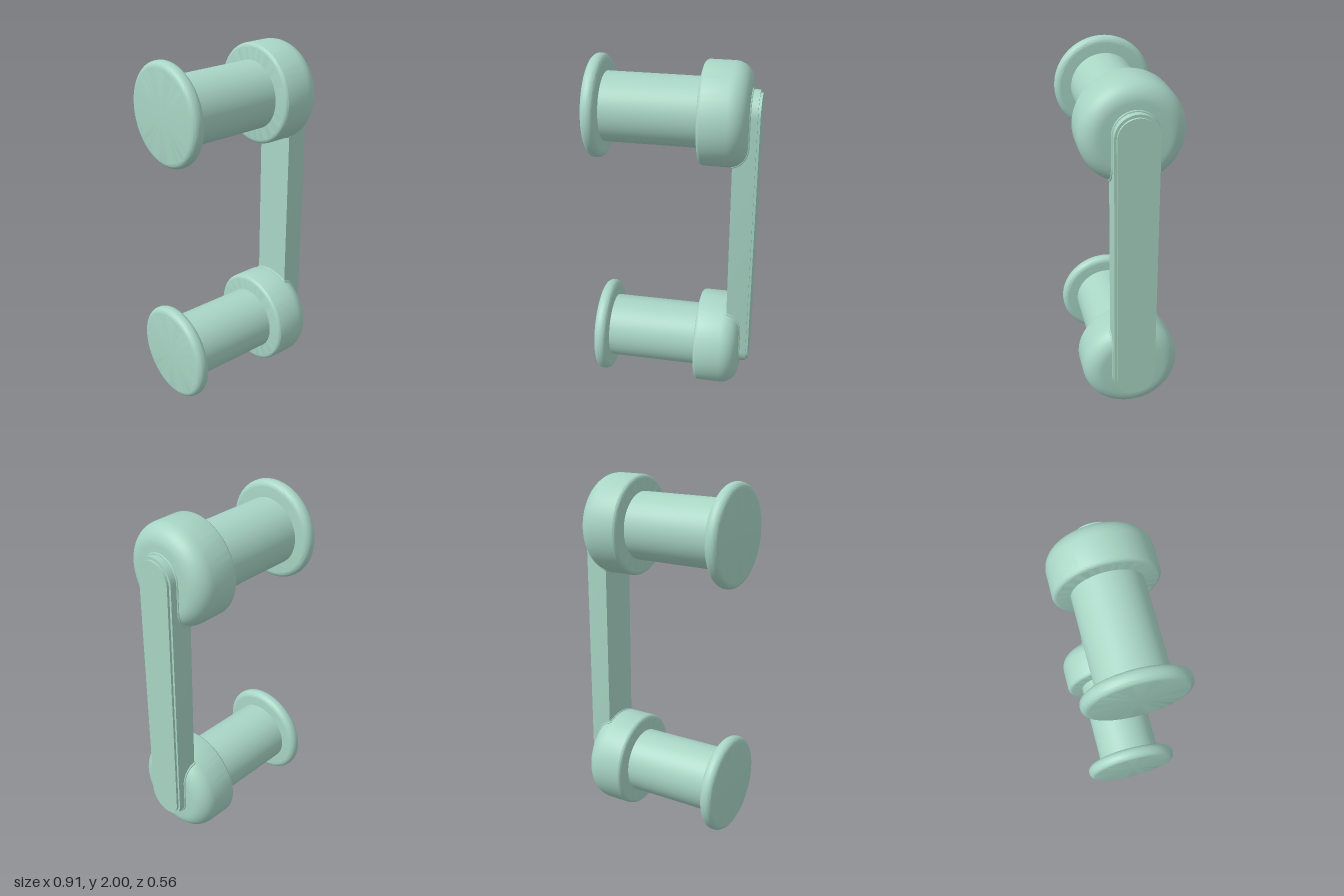
import * as THREE from 'three';
import { toCreasedNormals } from 'three/addons/utils/BufferGeometryUtils.js';

const material = new THREE.MeshStandardMaterial({ color: 0xa8d5c5 });
const R = 0.278;           // head and flange radius
const LOW = R, HIGH = 2 - R; // heights of the two pegs
const BAR_BACK = 0.32, BAR_W = 0.118;
const HEAD_END = 0.4, HEAD_FILLET = 0.1;

function mesh(name, geometry) {
  const m = new THREE.Mesh(geometry, material);
  m.name = name;
  return m;
}

// Solid disc along x from x0 to x1, with rounded rims
function roundedDisc(x0, x1, radius, fillet0, fillet1) {
  const pts = [new THREE.Vector2(0, x0)];
  const corner = (f, x, start) => {
    const steps = f > 0 ? 10 : 0;
    for (let i = 0; i <= steps; i++) {
      const a = steps ? start + (i / steps) * Math.PI / 2 : 0;
      pts.push(new THREE.Vector2(radius - f + f * Math.cos(a), x + f * Math.sin(a)));
    }
  };
  corner(fillet0, x0 + fillet0, -Math.PI / 2);
  corner(fillet1, x1 - fillet1, 0);
  pts.push(new THREE.Vector2(0, x1));
  const g = new THREE.LatheGeometry(pts, 96);
  g.rotateZ(-Math.PI / 2);
  return toCreasedNormals(g, 0.6);
}

// Upright round-ended plate, extruded along x
function roundEndPlate(x0, x1, halfWidth, y0, y1) {
  const s = new THREE.Shape();
  s.absarc(0, y1 - halfWidth, halfWidth, 0, Math.PI, false);
  s.absarc(0, y0 + halfWidth, halfWidth, Math.PI, 2 * Math.PI, false);
  s.closePath();
  const g = new THREE.ExtrudeGeometry(s, { depth: x1 - x0, bevelEnabled: false, curveSegments: 32 });
  g.rotateY(Math.PI / 2);
  g.translate(x0, 0, 0);
  return toCreasedNormals(g, 0.6);
}

// Thin bead following the seam where the bar enters the head
function seamBead() {
  const flat = R - HEAD_FILLET;
  const surfaceX = (y, z) => {
    const d = Math.max(0, Math.hypot(y, z) - flat);
    return HEAD_END - HEAD_FILLET + Math.sqrt(Math.max(0, HEAD_FILLET ** 2 - d * d));
  };
  const rBack = flat + Math.sqrt(HEAD_FILLET ** 2 - (BAR_BACK - HEAD_END + HEAD_FILLET) ** 2);
  const yBack = -Math.sqrt(rBack ** 2 - BAR_W ** 2);
  const yArc = 0.022;
  const pts = [];
  const add = (y, z) => pts.push(new THREE.Vector3(surfaceX(y, z), y, z));
  for (let i = 0; i < 20; i++) add(yBack + (yArc - yBack) * i / 20, BAR_W);
  for (let i = 0; i < 24; i++) {
    const a = i / 24 * Math.PI;
    add(yArc + BAR_W * Math.sin(a), BAR_W * Math.cos(a));
  }
  for (let i = 0; i < 20; i++) add(yArc + (yBack - yArc) * i / 20, -BAR_W);
  for (let i = 0; i < 12; i++) {
    const z = -BAR_W + 2 * BAR_W * i / 12;
    add(-Math.sqrt(rBack ** 2 - z * z), z);
  }
  return new THREE.TubeGeometry(new THREE.CatmullRomCurve3(pts, true), 180, 0.007, 8, true);
}

function createPeg(name) {
  const peg = new THREE.Group();
  peg.name = name;
  peg.add(
    mesh('flange', roundedDisc(-0.455, -0.38, R, 0.034, 0.034)),
    mesh('spindle', roundedDisc(-0.4, 0.16, 0.188, 0, 0)),
    mesh('head', roundedDisc(0.145, HEAD_END, R, 0.024, HEAD_FILLET)),
    mesh('seamBead', seamBead()),
  );
  return peg;
}

export function createModel() {
  const model = new THREE.Group();
  model.name = 'doublePegLink';

  // Two matching pegs, the lower one flipped so its seam faces the bar
  const upper = createPeg('upperPeg');
  upper.position.y = HIGH;
  const lower = createPeg('lowerPeg');
  lower.position.y = LOW;
  lower.rotation.x = Math.PI;
  model.add(upper, lower);

  // Connecting bar with a slightly narrower raised face
  model.add(
    mesh('connectingBar', roundEndPlate(BAR_BACK, 0.442, BAR_W, 0.14, 1.86)),
    mesh('barFace', roundEndPlate(0.43, 0.455, 0.105, 0.155, 1.845)),
  );
  return model;
}
